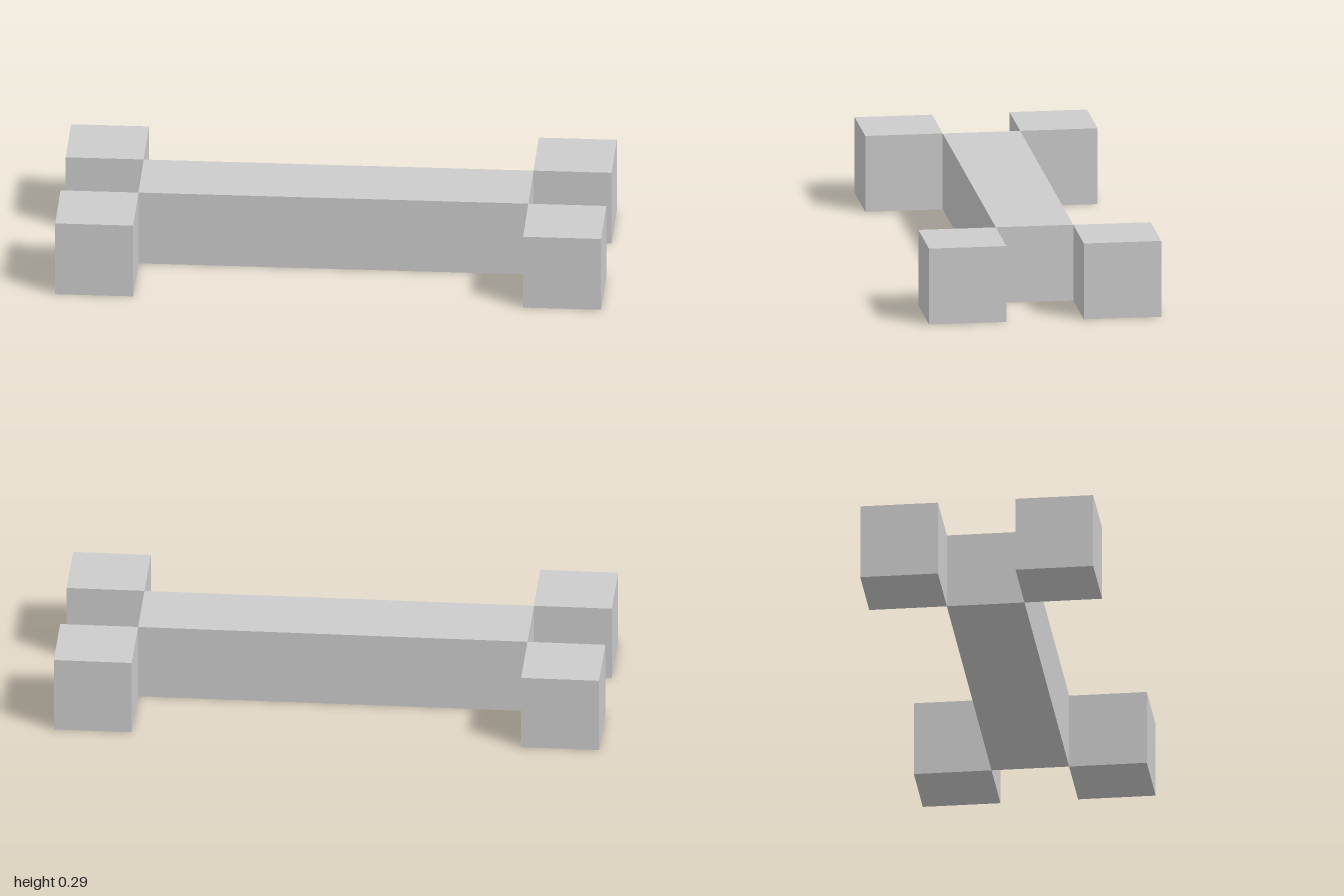
import * as THREE from 'three';

export function createModel() {
  const model = new THREE.Group();
  model.name = 'bone';
  const paleGrey = new THREE.MeshStandardMaterial({ color: 0xcccccc });
  paleGrey.name = 'paleGrey';

  // The whole shape sits on a grid seven cells long
  const unit = 2 / 7;

  function addBlock(name, length, x, z) {
    const mesh = new THREE.Mesh(new THREE.BoxGeometry(length * unit, unit, unit), paleGrey);
    mesh.name = name;
    mesh.position.set(x * unit, unit / 2, z * unit);
    model.add(mesh);
  }

  // Long central bar
  addBlock('shaft', 5, 0, 0);

  // Four cubes meeting the bar along its corner edges
  for (const [side, x] of [['Left', 3], ['Right', -3]]) {
    for (const [end, z] of [['front', 1], ['back', -1]]) {
      addBlock(`${end}${side}Knob`, 1, x, z);
    }
  }

  return model;
}
